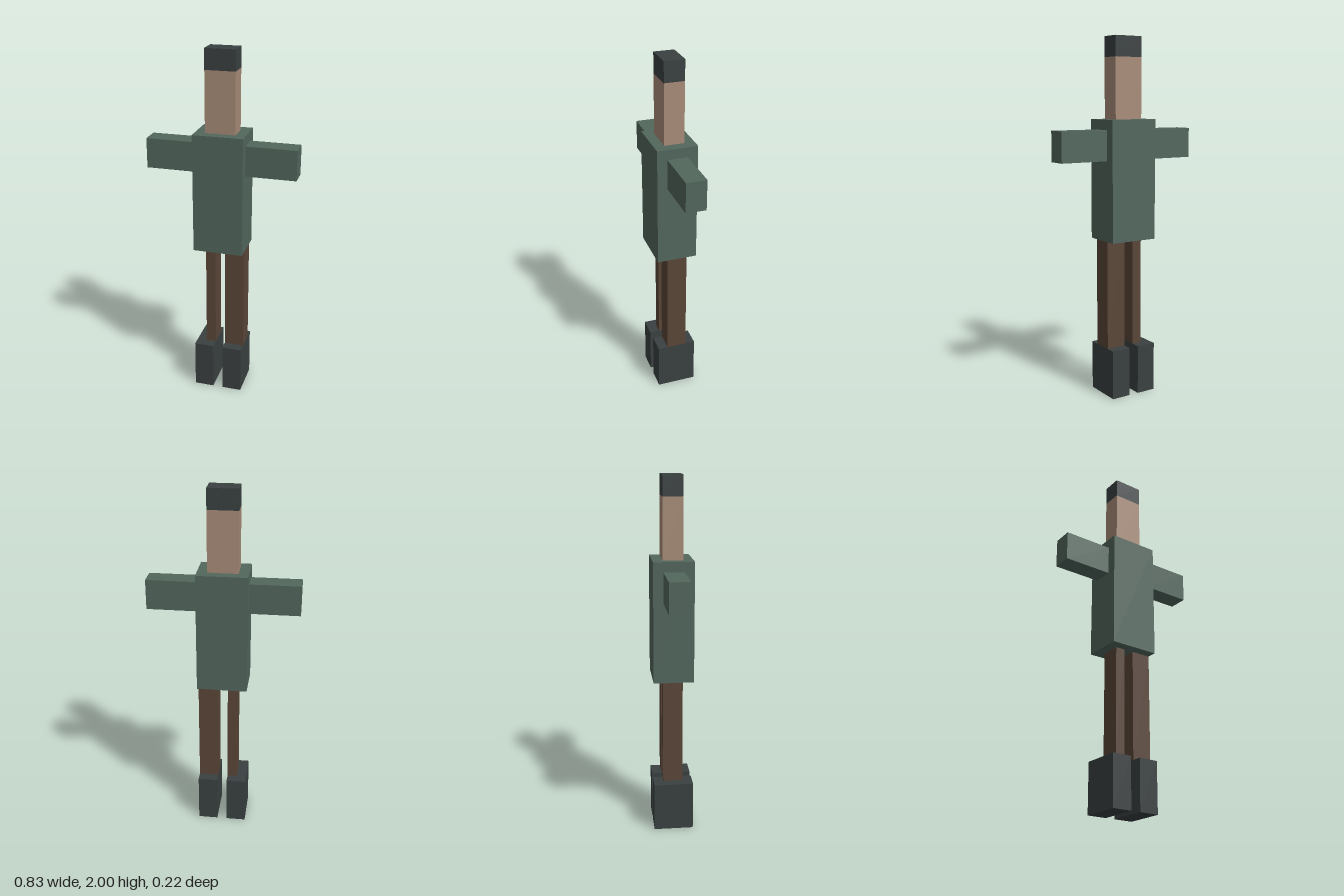
import * as THREE from 'three';

// The figure is laid out on a grid of 72 units to its full height.
const U = 2 / 72;

export function createModel() {
  const model = new THREE.Group();
  model.name = 'figure';

  const material = (name, color) => {
    const m = new THREE.MeshStandardMaterial({ color });
    m.name = name;
    return m;
  };
  const green = material('green cloth', 0x52675d);
  const brown = material('brown trousers', 0x5a4638);
  const dark = material('charcoal', 0x3a4041);
  const skin = material('skin', 0xa88c78);

  // Box spanning x0..x1 and y0..y1, centred on z, in grid units.
  const box = (name, mat, x0, x1, y0, y1, depth) => {
    const geometry = new THREE.BoxGeometry((x1 - x0) * U, (y1 - y0) * U, depth * U);
    const mesh = new THREE.Mesh(geometry, mat);
    mesh.name = name;
    mesh.position.set(((x0 + x1) / 2) * U, ((y0 + y1) / 2) * U, 0);
    model.add(mesh);
  };

  // Boots and legs; the right leg is narrower than the left
  box('leftBoot', dark, 1, 5, 0, 10, 8);
  box('rightBoot', dark, -5, -1, 0, 10, 8);
  box('leftLeg', brown, 1, 5, 10, 32, 4);
  box('rightLeg', brown, -3, -1, 10, 32, 4);

  // Torso and outstretched arms
  box('torso', green, -5, 5, 32, 56, 8);
  box('leftArm', green, 5, 15, 48, 54, 4);
  box('rightArm', green, -15, -5, 48, 54, 4);

  // Head and hair
  box('head', skin, -3, 3, 56, 68, 4);
  box('hair', dark, -3, 3, 68, 72, 4);

  return model;
}
